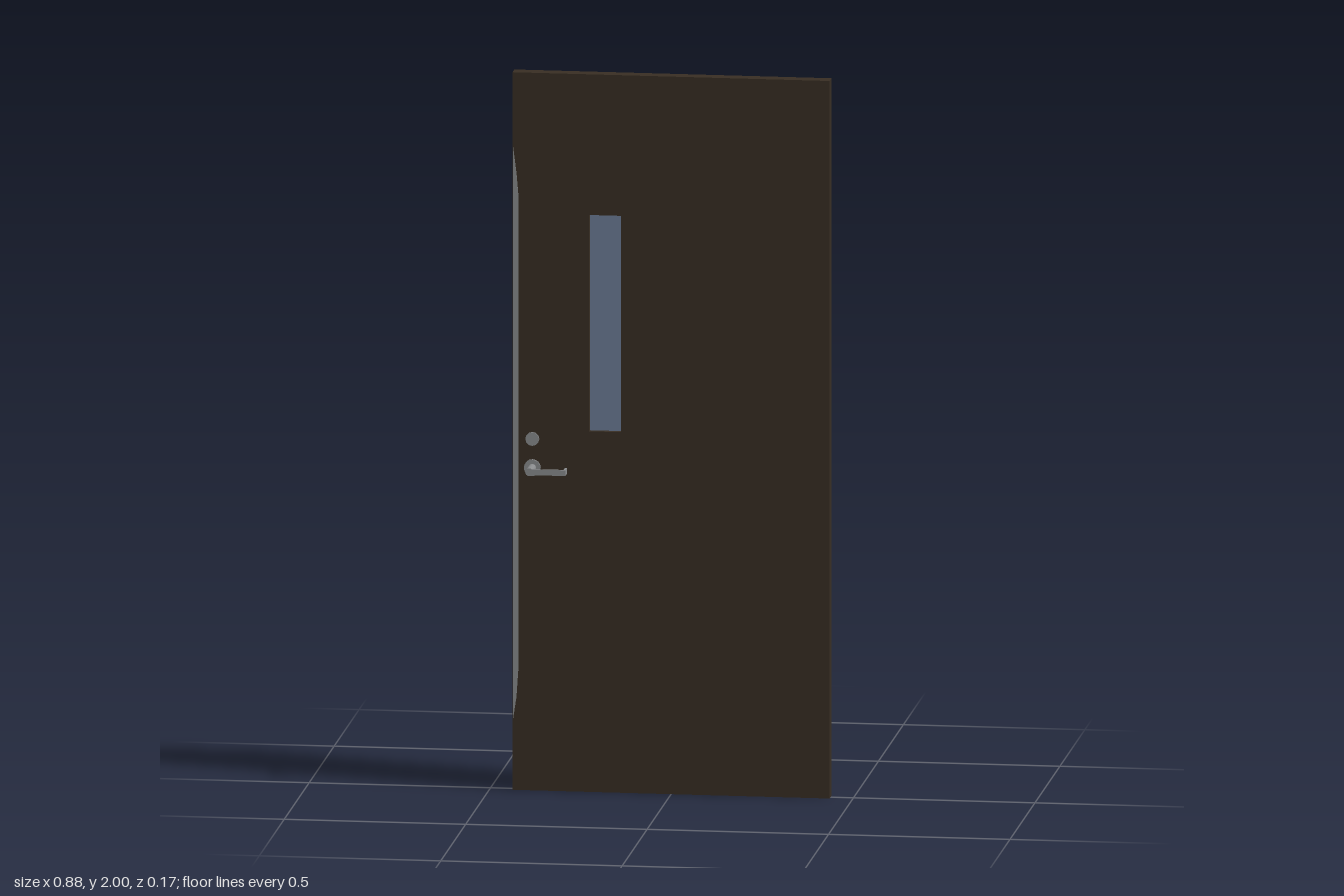
import * as THREE from 'three';

const HALF_W = 0.437, HEIGHT = 2, HALF_T = 0.019;
const LOCK_X = -0.382, LEVER_Y = 0.9;

const mat = (name, color, side = THREE.FrontSide) => {
  const m = new THREE.MeshStandardMaterial({ color, side });
  m.name = name;
  return m;
};

function add(parent, name, geometry, material, x = 0, y = 0, z = 0) {
  const mesh = new THREE.Mesh(geometry, material);
  mesh.name = name;
  mesh.position.set(x, y, z);
  parent.add(mesh);
  return mesh;
}

const polygon = (pts) => new THREE.Shape(pts.map(([x, y]) => new THREE.Vector2(x, y)));
const rect = (x0, y0, x1, y1) => [[x0, y0], [x1, y0], [x1, y1], [x0, y1]];

// Round part whose axis runs along z
const disc = (r, depth, sides) => new THREE.CylinderGeometry(r, r, depth, sides).rotateX(Math.PI / 2);

export function createModel() {
  const door = new THREE.Group();
  door.name = 'door';
  const brown = mat('dark brown', 0x382e23);
  const glass = mat('blue grey glass', 0x6c7c96);
  const metal = mat('grey metal', 0x8a8c8e);

  // Slab with a window opening
  const win = { x0: -0.226, x1: -0.138, y0: 1.005, y1: 1.608 };
  const outline = polygon(rect(-HALF_W, 0, HALF_W, HEIGHT));
  outline.holes.push(new THREE.Path(
    rect(win.x0, win.y0, win.x1, win.y1).reverse().map(([x, y]) => new THREE.Vector2(x, y))));
  const slab = new THREE.ExtrudeGeometry(outline, { depth: 2 * HALF_T, bevelEnabled: false });
  add(door, 'slab', slab, brown, 0, 0, -HALF_T);

  // Recessed pane
  add(door, 'windowPane', new THREE.BoxGeometry(win.x1 - win.x0, win.y1 - win.y0, 0.008), glass,
    (win.x0 + win.x1) / 2, (win.y0 + win.y1) / 2, 0);

  // Slim edge strips with tapered ends, one on each face
  const strip = new THREE.ExtrudeGeometry(polygon([
    [-0.435, 0.2], [-0.426, 0.26], [-0.42, 0.35], [-0.42, 1.65], [-0.426, 1.72], [-0.435, 1.79],
  ]), { depth: 0.001, bevelEnabled: false });
  add(door, 'edgeStripFront', strip, metal, 0, 0, HALF_T);
  add(door, 'edgeStripBack', strip, metal, 0, 0, -HALF_T - 0.001);

  // Lock plate and latch set in the door edge
  add(door, 'lockPlate', new THREE.BoxGeometry(0.002, 0.175, 0.024), metal, -HALF_W, 0.925, 0);
  add(door, 'latch', new THREE.BoxGeometry(0.004, 0.026, 0.012), metal, -HALF_W, LEVER_Y, 0);

  // Keyed cylinder on the front only
  add(door, 'lockCylinder', disc(0.019, 0.006, 12), metal, LOCK_X, 0.98, HALF_T + 0.003);

  // Lever handles: rose, spindle, bar and returned end
  for (const [name, s] of [['frontLever', 1], ['backLever', -1]]) {
    const lever = new THREE.Group();
    lever.name = name;
    lever.position.set(LOCK_X, LEVER_Y, 0);
    add(lever, 'rose', disc(0.023, 0.007, 16), metal, 0, 0, s * (HALF_T + 0.0035));
    add(lever, 'spindle', disc(0.011, 0.067, 16), metal, 0, 0, s * 0.0515);
    add(lever, 'bar', new THREE.BoxGeometry(0.1, 0.016, 0.006), metal, 0.05, 0, s * 0.082);
    add(lever, 'returnEnd', new THREE.BoxGeometry(0.006, 0.016, 0.034), metal, 0.097, 0, s * 0.068);
    door.add(lever);
  }
  return door;
}
